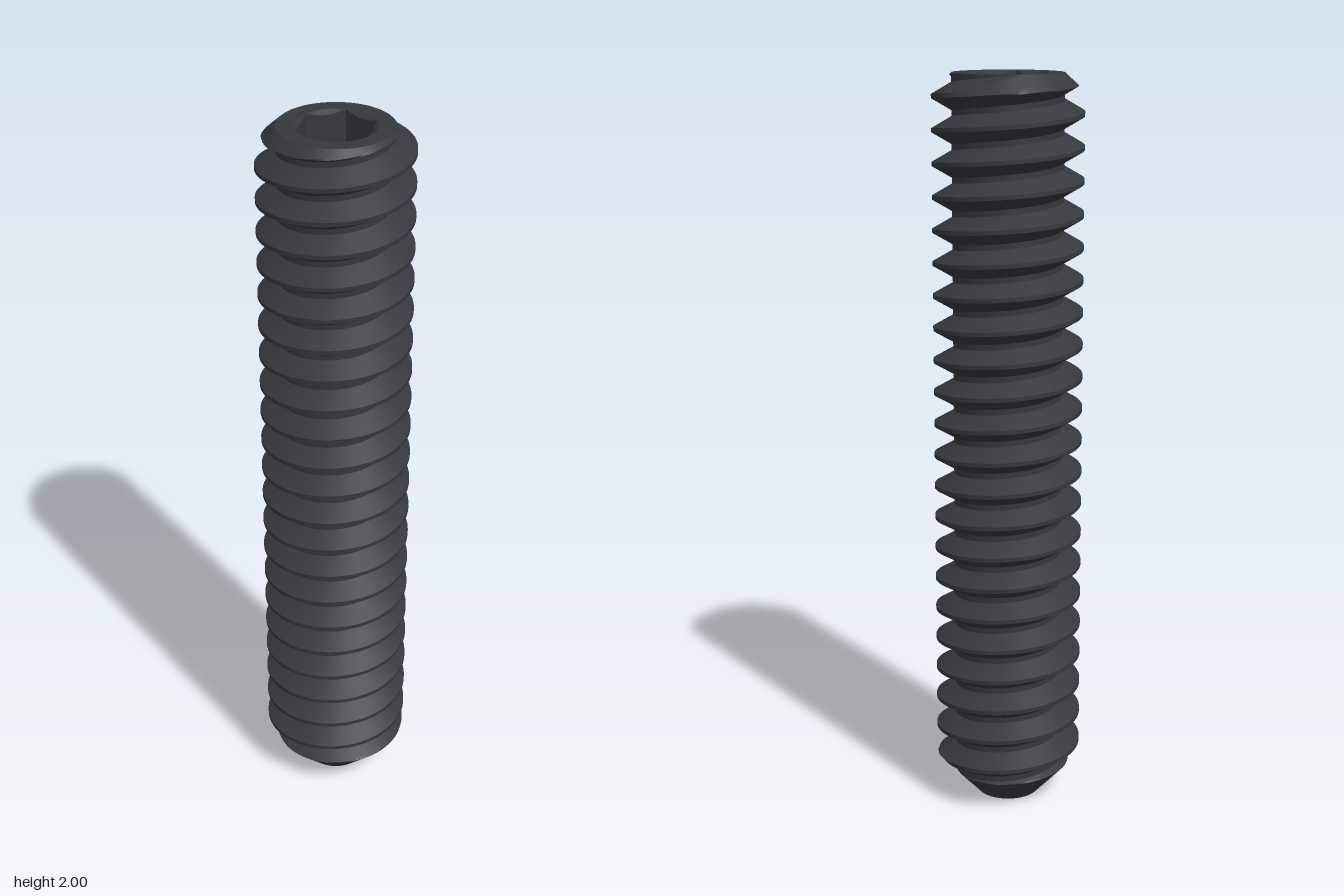
import * as THREE from 'three';
import { toCreasedNormals } from 'three/addons/utils/BufferGeometryUtils.js';

const SIDES = 96;
const HEIGHT = 2;
const PITCH = 0.087;
const CREST = 0.2, ROOT = 0.147;      // thread radii
const POINT_R = 0.085;                // rim of the cup point
const RIM_R = 0.104, FLAT_R = 0.09;   // socket countersink and half across flats

// Sweeps a profile of [radius, y] points round the y axis; the profile may change with the angle.
function sweep(name, material, profileAt) {
  const columns = [];
  for (let j = 0; j <= SIDES; j++) {
    const a = (j / SIDES) * Math.PI * 2;
    columns.push(profileAt(a).map(([r, y]) => new THREE.Vector3(r * Math.cos(a), y, -r * Math.sin(a))));
  }
  const positions = [];
  const triangle = new THREE.Triangle();
  const add = (a, b, c) => {
    if (triangle.set(a, b, c).getArea() < 1e-9) return;
    for (const v of [a, b, c]) positions.push(v.x, v.y, v.z);
  };
  for (let j = 0; j < SIDES; j++) {
    const p = columns[j], q = columns[j + 1];
    for (let i = 0; i < p.length - 1; i++) {
      add(p[i], q[i], q[i + 1]);
      add(p[i], q[i + 1], p[i + 1]);
    }
  }
  let geometry = new THREE.BufferGeometry();
  geometry.setAttribute('position', new THREE.Float32BufferAttribute(positions, 3));
  // enlarged while creasing so that close vertices stay distinct
  geometry.scale(100, 100, 100);
  geometry = toCreasedNormals(geometry, 0.45);
  geometry.scale(0.01, 0.01, 0.01);
  const mesh = new THREE.Mesh(geometry, material);
  mesh.name = name;
  return mesh;
}

// One pitch of the 60 degree thread, starting at the lower edge of a crest
function threadTurn() {
  const crestFlat = PITCH / 8;
  const flank = (CREST - ROOT) * Math.tan(Math.PI / 6);
  const steps = 10;
  const turn = [[CREST, -crestFlat / 2]];
  for (let i = 0; i <= steps; i++) {
    const t = i / steps;
    turn.push([CREST + (ROOT - CREST) * t, crestFlat / 2 + flank * t]);
  }
  for (let i = 0; i < steps; i++) {
    const t = i / steps;
    turn.push([ROOT + (CREST - ROOT) * t, PITCH - crestFlat / 2 - flank * (1 - t)]);
  }
  return turn;
}

// Distance from the axis to the hexagon's side
function hexRadius(a) {
  const sector = Math.PI / 3;
  return FLAT_R / Math.cos((a % sector) - sector / 2);
}

export function createModel() {
  const group = new THREE.Group();
  group.name = 'setScrew';
  const material = new THREE.MeshStandardMaterial({ color: 0x35383c });

  // Right-handed thread, trimmed by a chamfer at the top and a cone at the point
  const turn = threadTurn();
  const crestStart = 1.929 - 24 * PITCH;
  group.add(sweep('threadedShank', material, (a) => {
    const profile = [];
    for (let k = 0; k < 26; k++) {
      const base = crestStart + PITCH * (k + a / (Math.PI * 2));
      for (const [r, dy] of turn) {
        const y = THREE.MathUtils.clamp(base + dy, 0, HEIGHT);
        profile.push([Math.min(r, ROOT + 1.1 * (HEIGHT - y), POINT_R + 0.95 * y), y]);
      }
    }
    return profile;
  }));

  // Flat end face, countersink, six walls and floor of the socket
  group.add(sweep('hexSocket', material, (a) => {
    const h = hexRadius(a);
    return [
      [ROOT, HEIGHT],
      [RIM_R, HEIGHT],
      [h, HEIGHT - (RIM_R - h) * 0.7],
      [h, HEIGHT - 0.2],
      [0, HEIGHT - 0.2],
    ];
  }));

  // Conical hollow in the point
  group.add(sweep('cupPoint', material, () => [[0, 0.05], [POINT_R, 0]]));

  return group;
}
